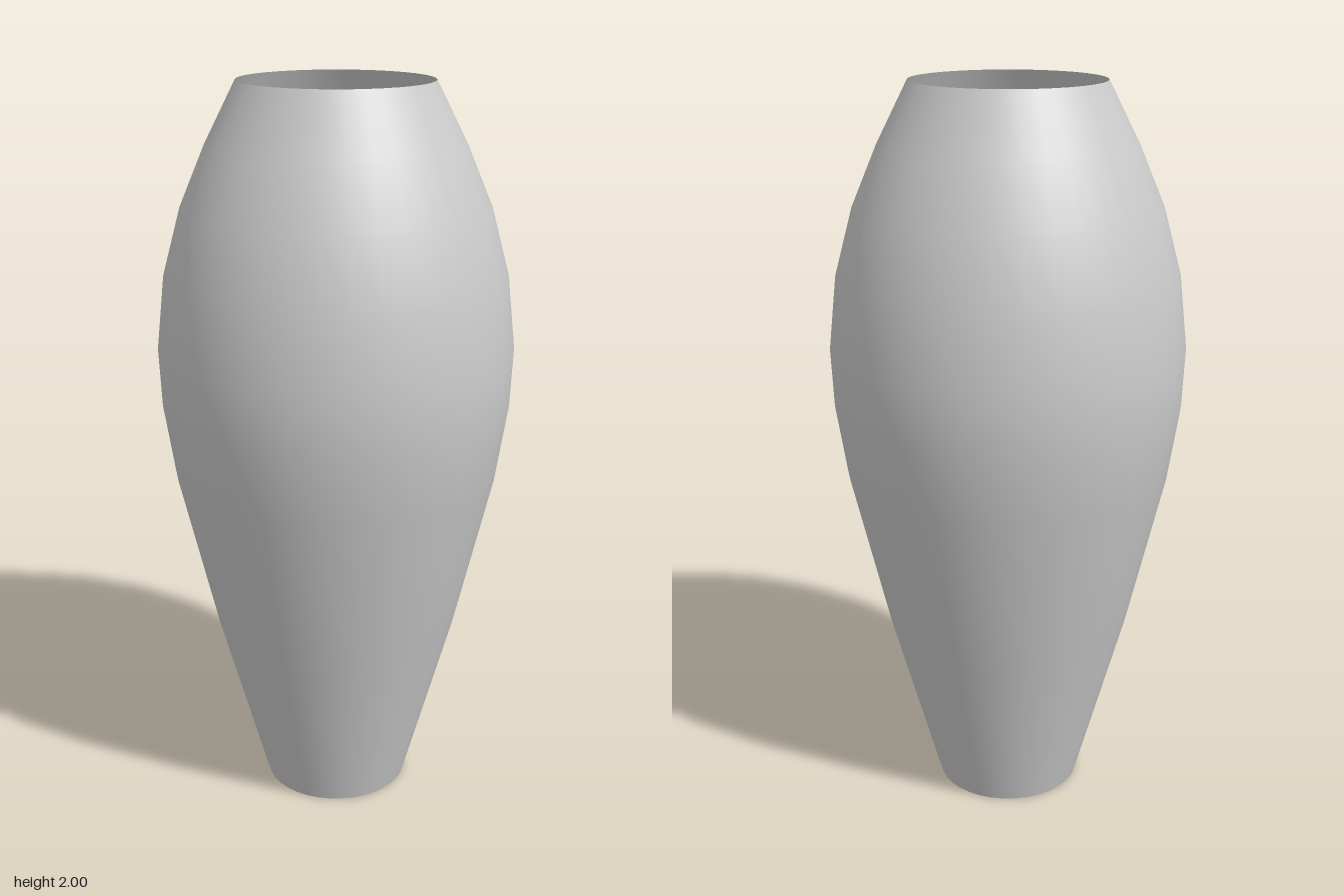
import * as THREE from 'three';

export function createModel() {
  const group = new THREE.Group();
  group.name = 'vase';

  // Outline from the narrow open foot, over the shoulder, to the open rim
  const profile = [
    [0.20, 0], [0.34, 0.51], [0.443, 0.95], [0.472, 1.14], [0.479, 1.3],
    [0.457, 1.5], [0.408, 1.68], [0.34, 1.84], [0.258, 2],
  ].map(([r, y]) => new THREE.Vector2(r, y));

  // Thin wall, open at both ends
  const material = new THREE.MeshStandardMaterial({ color: 0xcccccc, side: THREE.DoubleSide });
  const wall = new THREE.Mesh(new THREE.LatheGeometry(profile, 36), material);
  wall.name = 'vaseWall';
  group.add(wall);

  return group;
}
